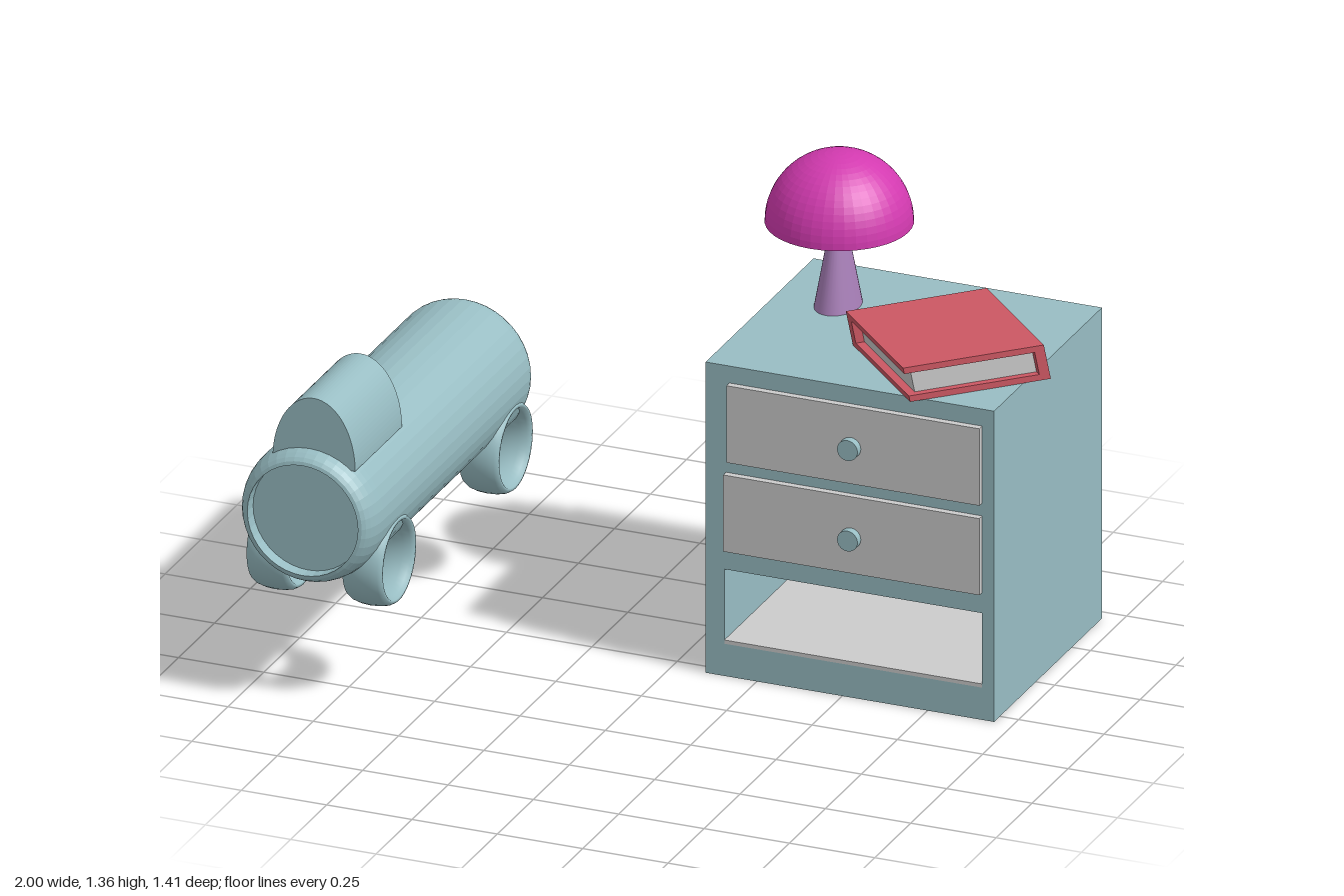
import * as THREE from 'three';

const paint = (color, extra = {}) => new THREE.MeshStandardMaterial({ color, ...extra });
const teal = paint(0x98bdc3);
const tealFacets = paint(0x98bdc3, { flatShading: true });
const grey = paint(0xcccccc);
const red = paint(0xcc5763);
const magenta = paint(0xd33ab0, { flatShading: true });
const violet = paint(0xa87fb8);

function add(parent, name, geometry, material, x = 0, y = 0, z = 0) {
  const mesh = new THREE.Mesh(geometry, material);
  mesh.name = name;
  mesh.position.set(x, y, z);
  parent.add(mesh);
  return mesh;
}

function group(parent, name) {
  const g = new THREE.Group();
  g.name = name;
  parent.add(g);
  return g;
}

// Box given by its lowest and highest corners
function block(parent, name, material, [x0, y0, z0], [x1, y1, z1]) {
  return add(parent, name, new THREE.BoxGeometry(x1 - x0, y1 - y0, z1 - z0), material,
    (x0 + x1) / 2, (y0 + y1) / 2, (z0 + z1) / 2);
}

function rectangle(Type, x0, y0, x1, y1) {
  return new Type([[x0, y0], [x1, y0], [x1, y1], [x0, y1]].map(p => new THREE.Vector2(...p)));
}

function buildCabinet(root) {
  const cabinet = group(root, 'cabinet');

  // Body with an open shelf at the bottom
  const face = rectangle(THREE.Shape, 0.1, 0, 0.945, 0.917);
  face.holes.push(rectangle(THREE.Path, 0.155, 0.095, 0.91, 0.315));
  add(cabinet, 'body', new THREE.ExtrudeGeometry(face, { depth: 0.7, bevelEnabled: false }), teal, 0, 0, -0.66);
  block(cabinet, 'backPanel', teal, [0.1, 0, -0.71], [0.945, 0.917, -0.66]);
  block(cabinet, 'shelfFloor', grey, [0.155, 0.095, -0.66], [0.91, 0.106, 0.04]);

  // Two drawers with round knobs
  for (const [x0, y0, y1, knobY] of [[0.17, 0.64, 0.867, 0.747], [0.16, 0.376, 0.602, 0.48]]) {
    block(cabinet, 'drawerFront', grey, [x0, y0, 0.03], [0.91, y1, 0.06]);
    const knob = add(cabinet, 'knob', new THREE.CylinderGeometry(0.03, 0.03, 0.03, 24), teal, 0.533, knobY, 0.068);
    knob.rotation.x = Math.PI / 2;
  }
}

function buildLamp(root) {
  const lamp = group(root, 'lamp');
  lamp.position.set(0.282, 0.917, -0.457);
  const stem = add(lamp, 'stem', new THREE.CylinderGeometry(0.026, 0.086, 0.25, 32), violet, -0.003, 0.125, 0);
  stem.scale.x = 0.72;
  const dome = new THREE.SphereGeometry(0.202, 40, 16, 0, Math.PI * 2, 0, Math.PI / 2);
  add(lamp, 'shade', dome, magenta, 0, 0.245, 0);
  add(lamp, 'shadeUnderside', new THREE.CircleGeometry(0.202, 40), magenta, 0, 0.245, 0).rotation.x = Math.PI / 2;
}

function buildBook(root) {
  const book = group(root, 'book');
  book.position.set(0.705, 0.917, -0.212);
  book.rotation.y = Math.PI / 4;
  const h = 0.205;
  const parts = [
    ['bottomCover', red, [-h, 0, -h], [h, 0.018, h]],
    ['topCover', red, [-h, 0.085, -h], [h, 0.103, h]],
    ['spine', red, [h - 0.03, 0.018, -h], [h, 0.085, h]],
    ['sideWall', red, [-h, 0.018, -h], [h - 0.03, 0.085, -h + 0.03]],
    ['pages', grey, [-0.18, 0.018, -h + 0.03], [h - 0.03, 0.085, 0.185]],
  ];
  for (const [name, material, low, high] of parts) {
    const mesh = block(book, name, material, low, high);
    // Lean every part away from the spine as it rises
    const p = mesh.geometry.attributes.position;
    for (let i = 0; i < p.count; i++) {
      const height = p.getY(i) + mesh.position.y;
      p.setX(i, p.getX(i) + 0.01 - 0.2 * height);
    }
    mesh.geometry.computeVertexNormals();
  }
}

function buildVehicle(root) {
  const vehicle = group(root, 'tubeVehicle');
  vehicle.position.set(-0.8, 0.565, 0);

  // Hollow body with rounded rims at both ends
  const inner = 0.162, outer = 0.2;
  const profile = [new THREE.Vector2(inner, -0.45)];
  for (let i = 1; i <= 6; i++) {
    const a = (i / 6) * Math.PI / 2;
    profile.push(new THREE.Vector2(inner + (outer - inner) * Math.sin(a), -0.39 - 0.06 * Math.cos(a)));
  }
  for (let i = 0; i <= 6; i++) {
    const a = (i / 6) * Math.PI / 2;
    profile.push(new THREE.Vector2(inner + (outer - inner) * Math.cos(a), 0.615 + 0.09 * Math.sin(a)));
  }
  profile.push(new THREE.Vector2(inner, -0.45));
  add(vehicle, 'tubeBody', new THREE.LatheGeometry(profile, 40), tealFacets).rotation.x = Math.PI / 2;

  // Plate set back inside the front rim
  const plate = add(vehicle, 'frontPlate', new THREE.CylinderGeometry(0.163, 0.163, 0.02, 40), teal, 0, 0, 0.655);
  plate.rotation.x = Math.PI / 2;

  // Arched cabin on top
  const arch = new THREE.Shape();
  arch.absellipse(0, 0, 0.121, 0.195, 0, Math.PI, false);
  arch.closePath();
  const cabin = new THREE.ExtrudeGeometry(arch, { depth: 0.325, bevelEnabled: false, curveSegments: 24 });
  add(vehicle, 'cabin', cabin, teal, 0.014, 0.15, 0.335);

  // Four wide ring wheels
  for (const side of [-1, 1]) {
    for (const z of [0.505, -0.305]) {
      const wheel = add(vehicle, 'wheel', new THREE.TorusGeometry(0.116, 0.018, 14, 40), teal, side * 0.14, -0.163, z);
      wheel.rotation.y = Math.PI / 2;
      wheel.scale.z = 3.3;
    }
  }
}

export function createModel() {
  const root = new THREE.Group();
  root.name = 'bedsideScene';
  buildCabinet(root);
  buildLamp(root);
  buildBook(root);
  buildVehicle(root);
  return root;
}
